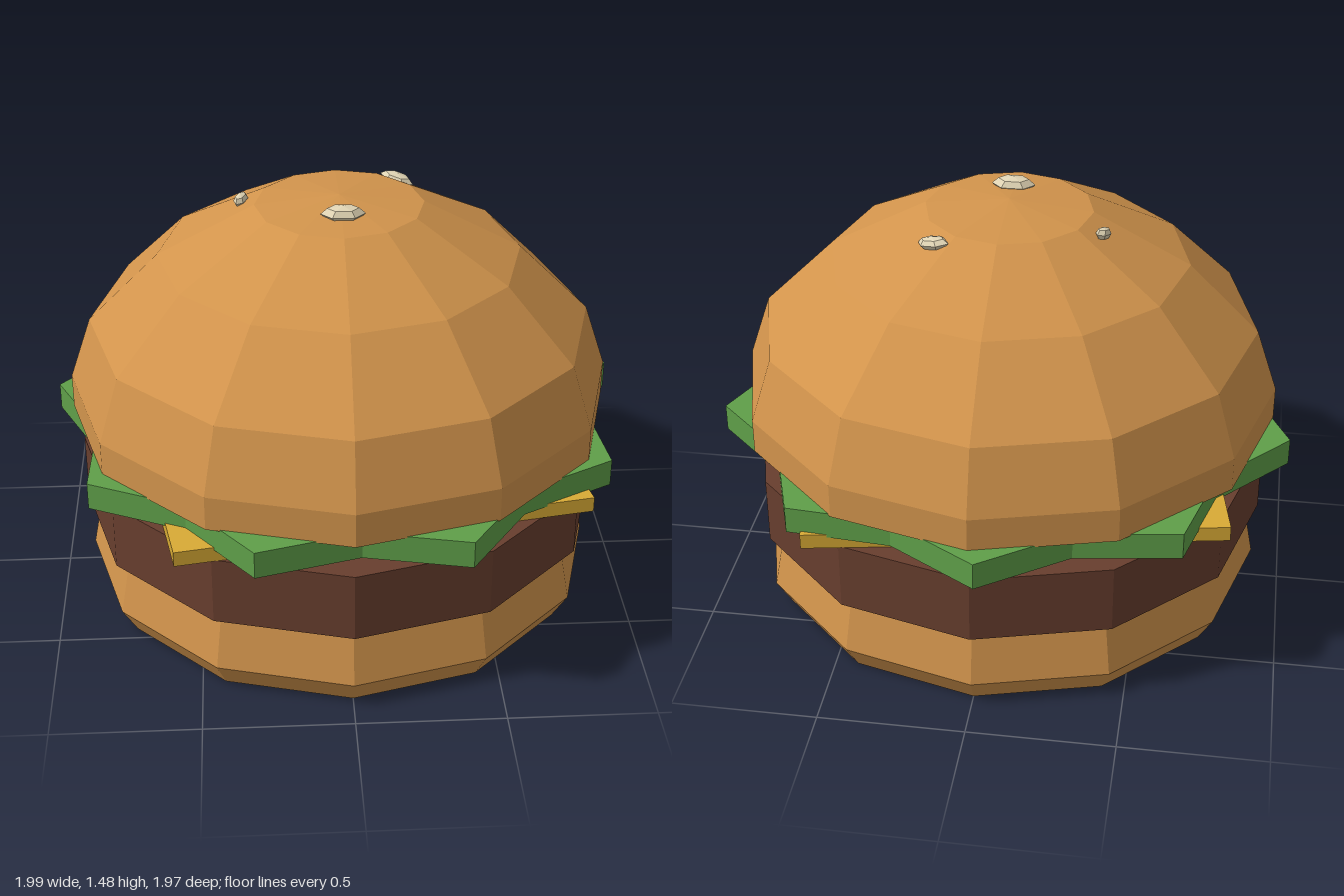
import * as THREE from 'three';

const SIDES = 12;
const CENTER_Z = 0.025;
const rad = THREE.MathUtils.degToRad;

function part(name, geometry, color) {
  const flat = geometry.index ? geometry.toNonIndexed() : geometry;
  flat.computeVertexNormals();
  const mesh = new THREE.Mesh(flat, new THREE.MeshStandardMaterial({ color, flatShading: true }));
  mesh.name = name;
  return mesh;
}

// Faceted solid of revolution from [radius, height] pairs, bottom to top
function turned(name, profile, color) {
  const points = profile.map(([r, y]) => new THREE.Vector2(r, y));
  return part(name, new THREE.LatheGeometry(points, SIDES), color);
}

// Flat slab from an outline in x/z, between two heights
function slab(name, outline, bottom, top, color) {
  const shape = new THREE.Shape(outline);
  const geometry = new THREE.ExtrudeGeometry(shape, { depth: top - bottom, bevelEnabled: false });
  geometry.rotateX(Math.PI / 2).translate(0, top, 0);
  return part(name, geometry, color);
}

const polar = (r, degrees) => new THREE.Vector2(r * Math.cos(rad(degrees)), r * Math.sin(rad(degrees)));

export function createModel() {
  const burger = new THREE.Group();
  burger.name = 'hamburger';
  const layers = new THREE.Group();
  layers.name = 'layers';
  layers.position.z = CENTER_Z;
  burger.add(layers);

  const BUN = 0xd2944c;

  // Bottom bun and patty
  layers.add(turned('bottomBun', [[0, 0], [0.845, 0], [0.9, 0.095], [0.86, 0.3], [0, 0.3]], BUN));
  layers.add(turned('patty', [[0, 0.295], [0.91, 0.295], [0.91, 0.537], [0, 0.537]], 0x683e2e));

  // Square cheese slice, twisted
  const cheese = [];
  for (let i = 0; i < 4; i++) cheese.push(polar(1.0, 35 + i * 90));
  layers.add(slab('cheese', cheese, 0.537, 0.59, 0xd9ab35));

  // Nine-pointed lettuce leaf
  const leaf = [];
  for (let i = 0; i < 18; i++) leaf.push(polar(i % 2 ? 0.865 : 1.01, -91.7 + i * 20));
  layers.add(slab('lettuce', leaf, 0.58, 0.675, 0x5f9f49));

  // Domed top bun
  layers.add(turned('topBun', [
    [0, 0.67], [0.938, 0.67], [0.938, 0.79], [0.863, 1.01], [0.62, 1.25], [0.287, 1.425], [0, 1.456],
  ], BUN));

  // Sesame seeds: position, half sizes, turn about y, tilt about z
  const seeds = [
    [[0.005, 1.447, 0.163], [0.075, 0.028, 0.046], 0, 0],
    [[0.215, 1.4, -0.23], [0.062, 0.022, 0.036], -25, -12],
    [[-0.33, 1.4, -0.08], [0.036, 0.022, 0.022], 60, 10],
  ];
  for (const [position, size, turn, tilt] of seeds) {
    const seed = part('sesameSeed', new THREE.SphereGeometry(1, 6, 4).scale(...size), 0xe0d4b4);
    seed.position.set(...position);
    seed.rotation.set(0, rad(turn), rad(tilt));
    burger.add(seed);
  }

  return burger;
}
